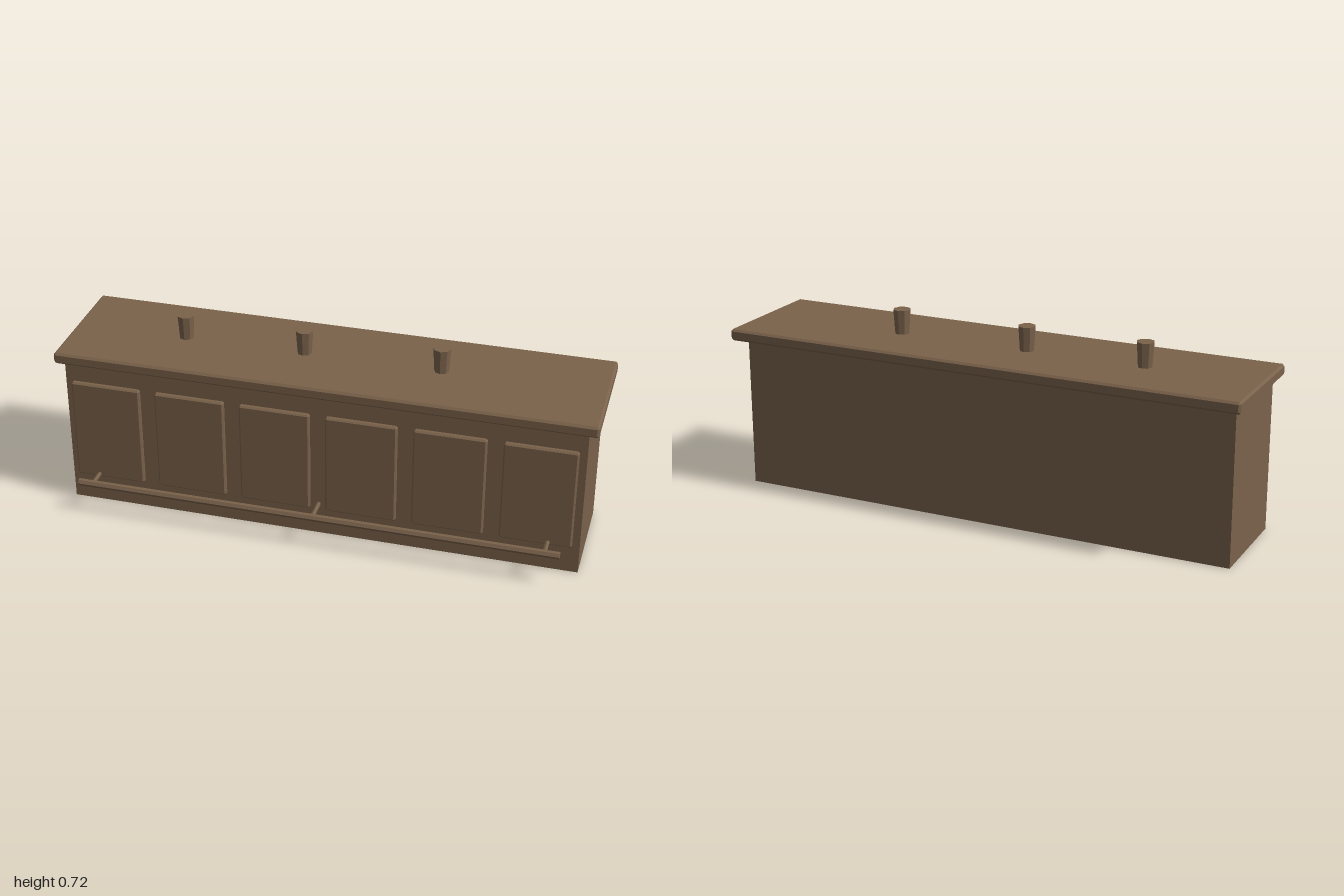
import * as THREE from 'three';
import { ConvexGeometry } from 'three/addons/geometries/ConvexGeometry.js';

// Box with a single flat chamfer along every edge
function chamferedBox(w, h, d, c) {
  const points = [];
  for (const sx of [-1, 1]) for (const sy of [-1, 1]) for (const sz of [-1, 1]) {
    const x = w / 2, y = h / 2, z = d / 2;
    points.push(
      new THREE.Vector3(sx * x, sy * (y - c), sz * (z - c)),
      new THREE.Vector3(sx * (x - c), sy * y, sz * (z - c)),
      new THREE.Vector3(sx * (x - c), sy * (y - c), sz * z));
  }
  return new ConvexGeometry(points);
}

export function createModel() {
  const group = new THREE.Group();
  const wood = new THREE.MeshStandardMaterial({ color: 0x7a624b, flatShading: true });
  wood.name = 'brown wood';

  function add(name, geometry, x, y, z) {
    const mesh = new THREE.Mesh(geometry, wood);
    mesh.name = name;
    mesh.position.set(x, y, z);
    group.add(mesh);
    return mesh;
  }

  // Counter body and overhanging top
  add('counterBody', new THREE.BoxGeometry(1.93, 0.582, 0.397), 0, 0.291, -0.0185);
  add('counterTop', chamferedBox(2, 0.044, 0.487, 0.008), 0, 0.603, -0.0415);

  // Six raised front panels
  const panel = chamferedBox(0.264, 0.397, 0.023, 0.006);
  for (let i = 0; i < 6; i++) {
    add('frontPanel' + (i + 1), panel, (i - 2.5) * 0.3225, 0.3135, 0.1915);
  }

  // Foot rail along the front
  const rail = new THREE.CylinderGeometry(0.0135, 0.0135, 1.814, 6);
  rail.rotateZ(Math.PI / 2);
  add('footRail', rail, 0, 0.126, 0.272);

  // Rail brackets
  const bracket = new THREE.CylinderGeometry(0.008, 0.008, 0.092, 6);
  bracket.rotateX(Math.PI / 2);
  for (const x of [-0.852, 0, 0.852]) add('railBracket', bracket, x, 0.128, 0.226);

  // Tapered cups on the counter
  const cup = new THREE.CylinderGeometry(0.033, 0.027, 0.092, 8);
  for (const x of [-0.57, -0.115, 0.396]) add('cup', cup, x, 0.671, -0.047);

  return group;
}
